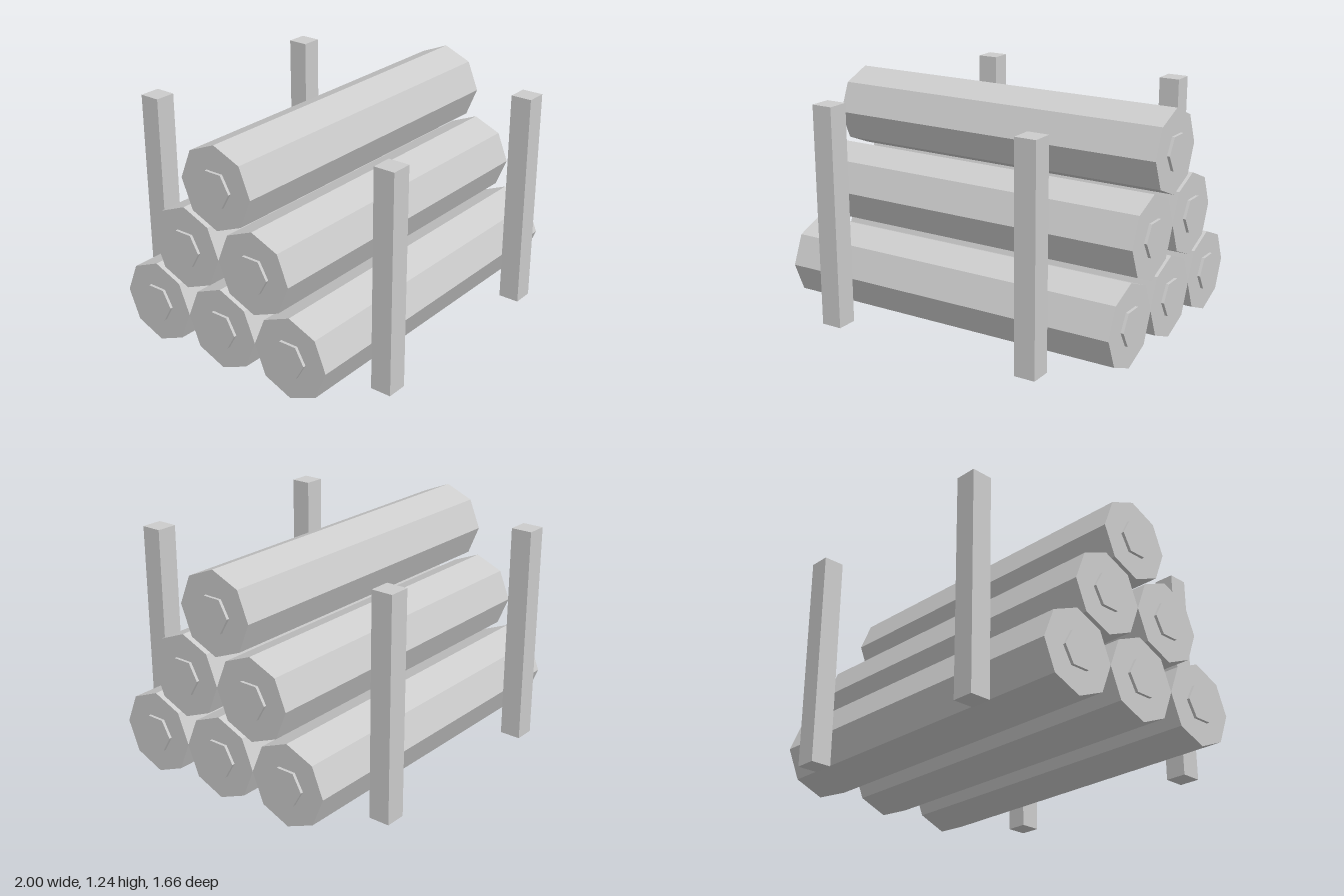
import * as THREE from 'three';

export function createModel() {
  const group = new THREE.Group();
  const grey = new THREE.MeshStandardMaterial({ color: 0xcccccc, flatShading: true });
  grey.name = 'light grey';

  const R = 0.227;          // log radius
  const ROW = 0.391;        // height between rows

  // Prism lying along x, with corners pointing to +z and -z
  const prism = (radius, length, sides) =>
    new THREE.CylinderGeometry(radius, radius, length, sides).rotateZ(Math.PI / 2);

  const add = (parent, geometry, name, x, y, z) => {
    const mesh = new THREE.Mesh(geometry, grey);
    mesh.name = name;
    mesh.position.set(x, y, z);
    parent.add(mesh);
  };

  const logGeometry = prism(R, 1.968, 8);
  const coreGeometry = prism(0.102, 0.026, 6);

  // Pyramid stack: three, two and one logs
  for (let row = 0; row < 3; row++) {
    const count = 3 - row;
    for (let i = 0; i < count; i++) {
      const log = new THREE.Group();
      log.name = 'log';
      log.position.set(0, R + row * ROW, (i - (count - 1) / 2) * 2 * R);
      add(log, logGeometry, 'logBody', 0, 0, 0);
      // Raised hexagon on each cut end
      for (const s of [-1, 1]) add(log, coreGeometry, 'logCore', s * 0.987, 0, 0);
      group.add(log);
    }
  }

  // Four upright stakes
  const postGeometry = new THREE.BoxGeometry(0.118, 1.211, 0.118);
  for (const x of [-0.606, 0.606])
    for (const z of [-0.773, 0.773]) add(group, postGeometry, 'post', x, 0.6055, z);

  return group;
}
